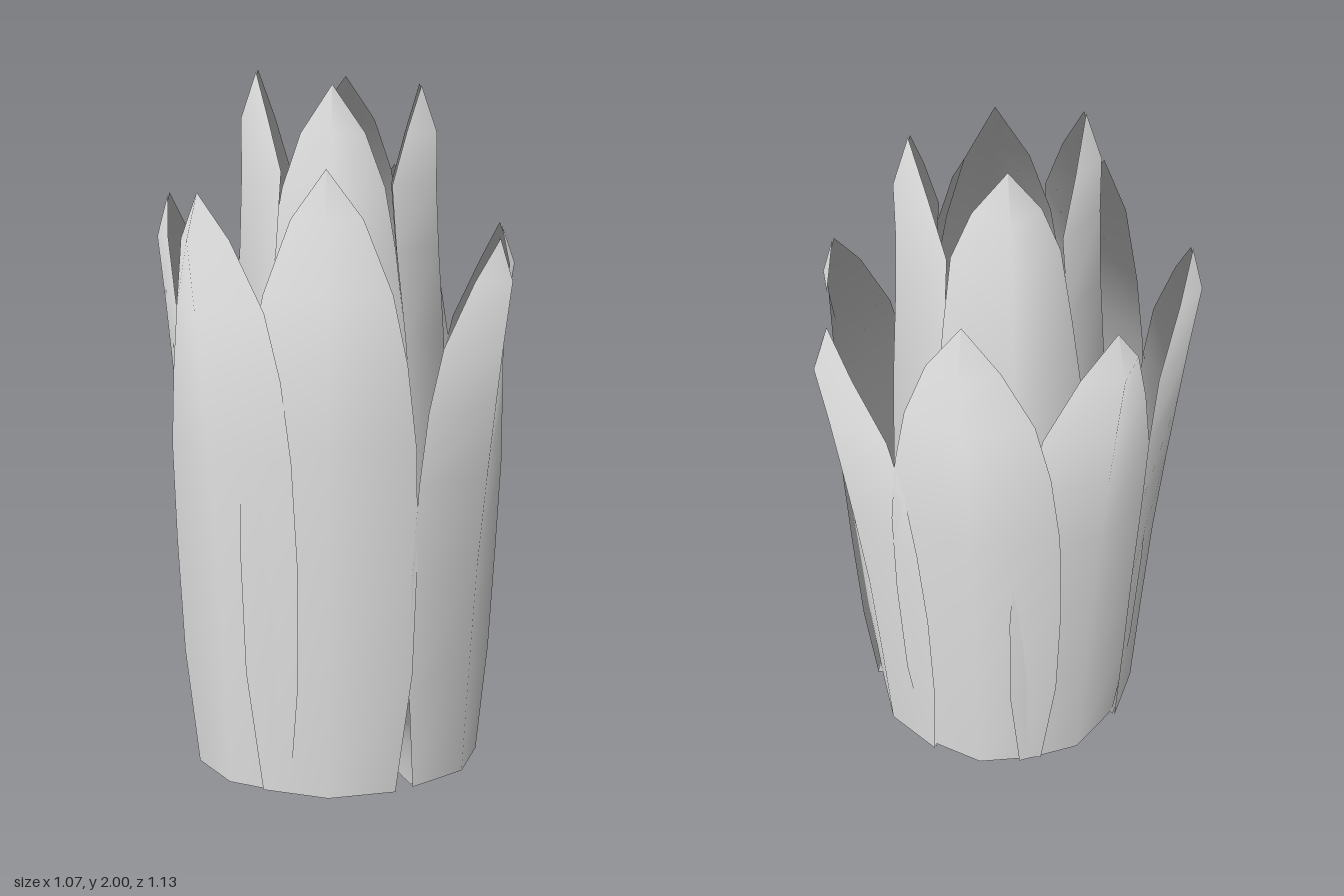
import * as THREE from 'three';

const leafGrey = new THREE.MeshStandardMaterial({ color: 0xcccccc });
leafGrey.name = 'leafGrey';

const THICKNESS = 0.006;

// One skin of a folded strip, three points wide.
// rows: [y, halfWidth, centreRadius, edgeDip, normalUp, normalOut]
function skin(name, rows, { curve, lean = 0, reversed = false }) {
  const pos = [], normals = [], idx = [];
  const tri = (a, b, c) => idx.push(a, ...(reversed ? [c, b] : [b, c]));
  rows.forEach(([y, w, r, dip, up, out = 1], i) => {
    for (let s = -1; s <= 1; s++) {
      pos.push(w * s + lean * (y / 2) ** 2, y, r - dip * Math.abs(s));
      normals.push(...new THREE.Vector3(s * curve * out, up, out).normalize().toArray());
    }
    if (i === 0) return;
    for (let k = 0; k < 2; k++) {
      const a = (i - 1) * 3 + k, b = i * 3 + k;
      tri(a, a + 1, b + 1);
      tri(a, b + 1, b);
    }
  });
  const geo = new THREE.BufferGeometry();
  geo.setAttribute('position', new THREE.Float32BufferAttribute(pos, 3));
  geo.setAttribute('normal', new THREE.Float32BufferAttribute(normals, 3));
  geo.setIndex(idx);
  const mesh = new THREE.Mesh(geo, leafGrey);
  mesh.name = name;
  return mesh;
}

// The facing skin of a strip, set slightly inwards and upwards to give it thickness
function innerSkin(name, rows, options) {
  const inset = rows.map(([y, w, r, ...rest]) => [y + THICKNESS, w, Math.max(r - THICKNESS, 0), ...rest]);
  return skin(name, inset, { ...options, reversed: true });
}

// Blade with both skins softly shaded as one rounded cup
function blade(name, rows, degrees, options) {
  const leaf = new THREE.Group();
  leaf.name = name;
  leaf.rotation.y = THREE.MathUtils.degToRad(degrees);
  leaf.add(skin('bladeOutside', rows, options), innerSkin('bladeInside', rows, options));
  return leaf;
}

export function createModel() {
  const group = new THREE.Group();
  group.name = 'leafCluster';

  // Outer ring: angle, height and widest radius of each leaf
  const outer = [
    [0, 1.72, 0.56], [59, 1.535, 0.577], [113, 1.56, 0.58], [162, 1.735, 0.595],
    [-152, 1.635, 0.537], [-99.6, 1.65, 0.543], [-40, 1.66, 0.58],
  ];
  // height fraction, half width, flare from base to widest radius, edge dip, normal up
  const profile = [
    [0, 0.185, 0, 0.055, 0.22], [0.2, 0.23, 0.14, 0.062, 0.26], [0.4, 0.242, 0.3, 0.07, 0.3],
    [0.57, 0.237, 0.5, 0.08, 0.35], [0.7, 0.212, 0.67, 0.09, 0.55], [0.81, 0.172, 0.82, 0.09, 0.95],
    [0.925, 0.095, 1, 0.065, 1.7], [1, 0, 0.72, 0, 2],
  ];
  const outerShape = { curve: 0.5 };
  for (const [deg, height, radius] of outer) {
    const base = 0.425 + 0.025 * Math.cos(THREE.MathUtils.degToRad(deg));
    const rows = profile.map(([t, w, f, dip, up]) =>
      [t * height, w, base + (radius - base) * f, dip, up]);
    const leaf = blade('outerLeaf', rows, deg, outerShape);

    // Base of the leaf tucked in under the cluster, rising to the centre
    const tuck = [
      [0.09, 0, 0, 0], [0.07, 0.08, 0.15, 0.02], [0.04, 0.14, 0.3, 0.03],
      [0.01, 0.172, 0.395, 0.045], [0, 0.185, base, 0.055],
    ];
    const under = tuck.map((row, i) => [...row, [-1.5, -1, -0.6, -0.25, -0.1][i], -1]);
    const over = tuck.map((row) => [...row, 0.45]);
    leaf.add(skin('tuckUnderside', under, outerShape), innerSkin('tuckTop', over, outerShape));
    group.add(leaf);
  }

  // Inner ring: angle, height, top radius and sideways lean of four taller leaves
  const inner = [
    [0, 1.95, 0.255, 0], [90, 1.955, 0.29, -0.06], [180, 1.994, 0.28, -0.02], [-90, 1.994, 0.268, 0.06],
  ];
  for (const [deg, h, r, lean] of inner) {
    group.add(blade('innerLeaf', [
      // floor curving out from the centre
      [0.11, 0, 0, 0, 3], [0.12, 0.09, 0.12, 0.035, 1.5], [0.16, 0.165, 0.23, 0.065, 0.8],
      [0.24, 0.22, 0.3, 0.08, 0.5], [0.36, 0.24, 0.325, 0.09, 0.35],
      // wall
      [0.6, 0.25, 0.34, 0.095, 0.3], [0.95, 0.235, 0.328, 0.1, 0.35],
      [1.25, 0.205, r + 0.025, 0.11, 0.45], [1.5, 0.175, r + 0.008, 0.12, 0.65],
      // pointed tip
      [h - 0.28, 0.145, r, 0.125, 1], [h - 0.13, 0.09, r, 0.085, 1.6], [h, 0, r - 0.045, 0, 2],
    ], deg, { curve: 0.9, lean }));
  }

  return group;
}
